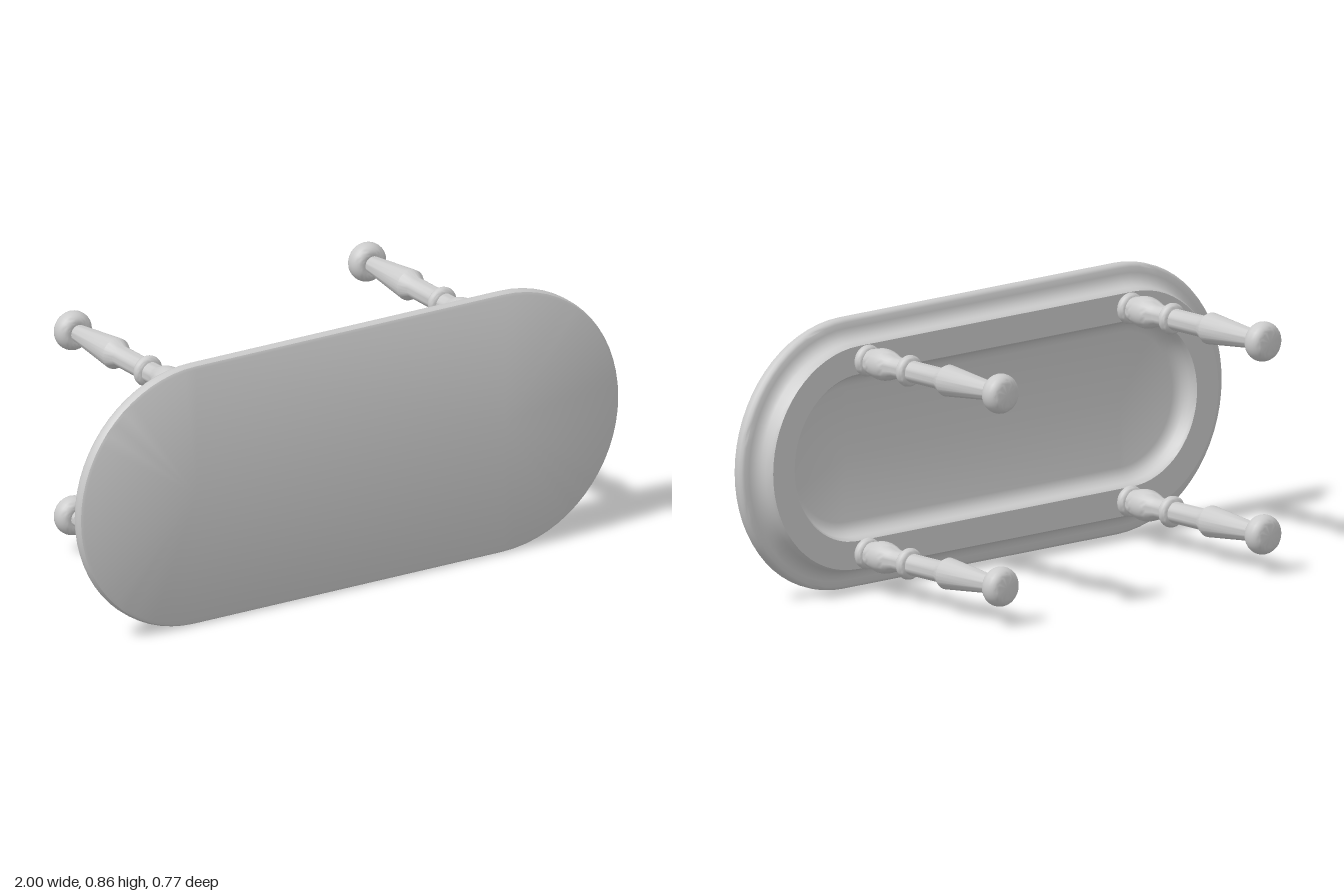
import * as THREE from 'three';
import { toCreasedNormals } from 'three/addons/utils/BufferGeometryUtils.js';

const material = new THREE.MeshStandardMaterial({ color: 0xcccccc });
const MID_Y = 0.43;      // height of the oval's centre line
const END_R = 0.43;      // radius of the rounded ends
const HALF_STRAIGHT = 0.57;

// Ring of points around an oval with two straight sides, counterclockwise from the front
function ovalRing(inset, z, steps = 32) {
  const r = END_R - inset, ring = [];
  for (const [side, start] of [[1, -Math.PI / 2], [-1, Math.PI / 2]]) {
    for (let i = 0; i <= steps; i++) {
      const a = start + Math.PI * i / steps;
      ring.push([side * HALF_STRAIGHT + r * Math.cos(a), MID_Y + r * Math.sin(a), z]);
    }
  }
  return ring;
}

// Sweep a moulding profile of [inset, z] pairs around the oval
function ovalMoulding(profile) {
  const rings = profile.map(([inset, z]) => ovalRing(inset, z));
  const n = rings[0].length, index = [];
  for (let j = 0; j < rings.length - 1; j++) {
    for (let i = 0; i < n; i++) {
      const k = (i + 1) % n;
      const a = j * n + i, b = j * n + k, c = a + n, d = b + n;
      index.push(a, c, d, a, d, b);
    }
  }
  const geometry = new THREE.BufferGeometry();
  geometry.setAttribute('position', new THREE.Float32BufferAttribute(rings.flat(2), 3));
  geometry.setIndex(index);
  return toCreasedNormals(geometry, 0.6);
}

// Half-round bead on a turned leg, from length s0 to s1, bulging from r0 to r1
function bead(s0, s1, r0, r1, steps = 8) {
  return Array.from({ length: steps + 1 }, (_, i) => {
    const a = Math.PI * i / steps;
    return [r0 + (r1 - r0) * Math.sin(a), (s0 + s1) / 2 - (s1 - s0) / 2 * Math.cos(a)];
  });
}

function legGeometry() {
  const vase = Array.from({ length: 11 }, (_, i) => {
    const t = i / 10;
    return [0.034 + 0.006 * (1 - t) + 0.013 * Math.sin(Math.PI * t) ** 1.2, -0.246 + 0.119 * t];
  });
  const profile = [
    [0, -0.282],
    ...bead(-0.282, -0.248, 0.034, 0.05),    // collar
    ...vase,
    ...bead(-0.09, -0.055, 0.034, 0.05),     // middle ring
    [0.034, 0.075], [0.05, 0.107],           // flare
    [0.028, 0.318],                          // taper
    ...bead(0.317, 0.385, 0.036, 0.063, 12), // foot
    [0, 0.385],
  ].map(([r, s]) => new THREE.Vector2(r, s));
  const geometry = new THREE.LatheGeometry(profile, 28);
  geometry.rotateX(-Math.PI / 2);
  return toCreasedNormals(geometry, 0.6);
}

export function createModel() {
  const group = new THREE.Group();

  // Oval top with rounded edge, coved apron and recessed underside
  const top = new THREE.Mesh(ovalMoulding([
    [0.43, 0.385], [0.014, 0.385], [0.005, 0.381], [0, 0.372], [0, 0.356],
    [0.004, 0.347], [0.012, 0.342], [0.03, 0.341],
    [0.044, 0.337], [0.055, 0.33], [0.063, 0.32], [0.068, 0.308],
    [0.07, 0.29], [0.076, 0.281],
    [0.165, 0.281], [0.172, 0.29], [0.174, 0.308], [0.18, 0.32], [0.188, 0.33],
    [0.2, 0.338], [0.215, 0.341], [0.43, 0.341],
  ]), material);
  top.name = 'ovalTop';
  group.add(top);

  // Four turned legs
  const geometry = legGeometry();
  for (const [sideName, x] of [['left', 0.545], ['right', -0.545]]) {
    for (const [rowName, y] of [['Upper', 0.737], ['Lower', 0.124]]) {
      const leg = new THREE.Mesh(geometry, material);
      leg.name = `${sideName}${rowName}Leg`;
      leg.position.set(x, y, 0);
      group.add(leg);
    }
  }
  return group;
}
